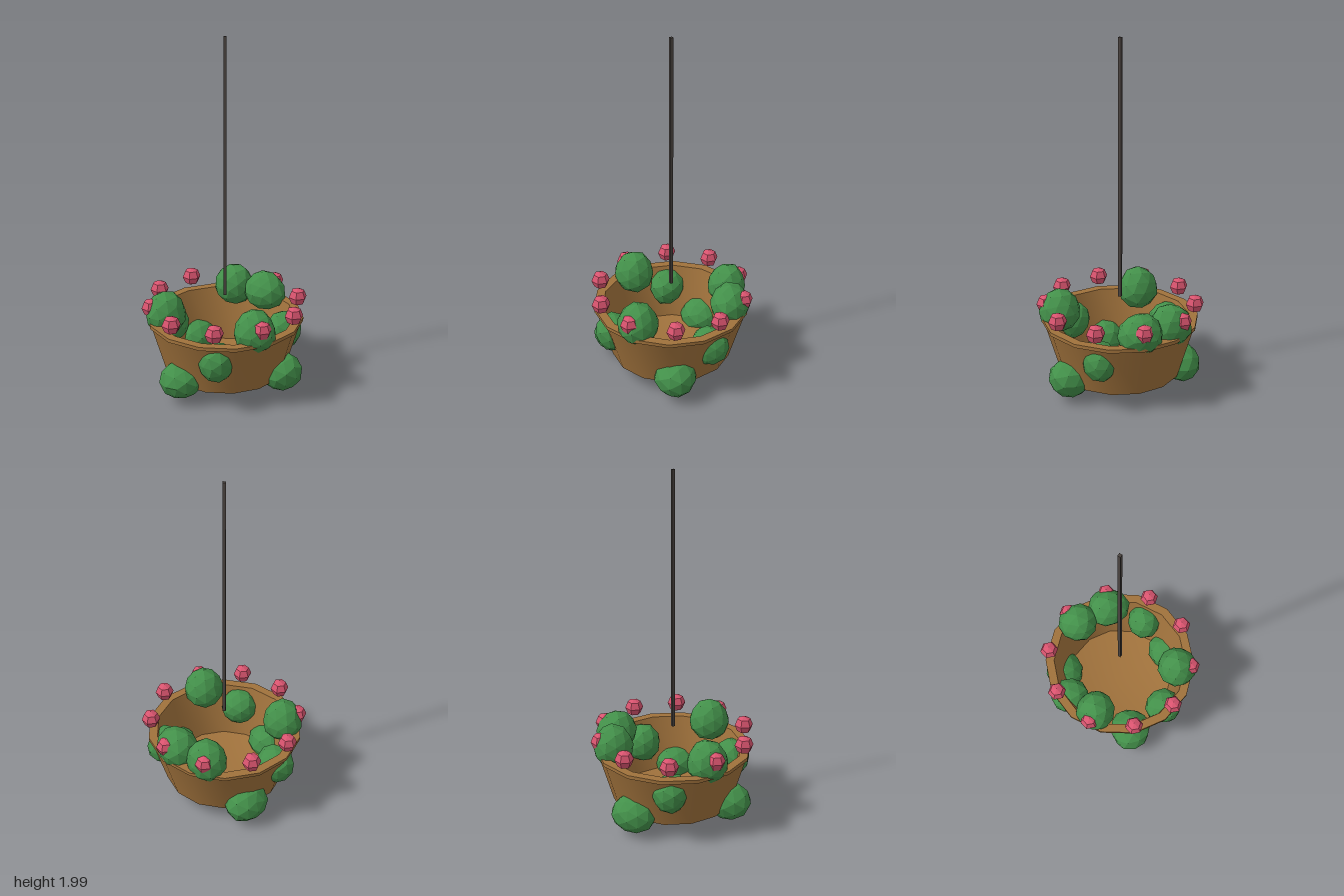
import * as THREE from 'three';
import { toCreasedNormals } from 'three/addons/utils/BufferGeometryUtils.js';

const material = (name, color, flatShading = false) => {
  const m = new THREE.MeshStandardMaterial({ color, flatShading });
  m.name = name;
  return m;
};

// Faceted ball whose vertices are pushed in and out by a smooth seeded rule
function lumpyBall(radius, seed) {
  const geo = new THREE.IcosahedronGeometry(1, 1);
  const p = geo.attributes.position;
  const v = new THREE.Vector3();
  for (let i = 0; i < p.count; i++) {
    v.fromBufferAttribute(p, i);
    const lump = Math.sin(v.x * 2.7 + seed * 1.9) + Math.sin(v.y * 3.1 + seed * 2.3) + Math.sin(v.z * 2.9 + seed * 3.7);
    v.multiplyScalar(radius * (1 + 0.045 * lump));
    p.setXYZ(i, v.x, v.y, v.z);
  }
  geo.computeVertexNormals();
  return geo;
}

export function createModel() {
  const wicker = material('brown wicker', 0xa0723c);
  const leaf = material('leaf green', 0x43904a, true);
  const petal = material('petal pink', 0xd9546f, true);
  const iron = material('dark iron', 0x4c4541, true);

  const model = new THREE.Group();
  model.name = 'hangingBasket';
  const add = (name, geo, mat, x = 0, y = 0, z = 0, parent = model) => {
    const mesh = new THREE.Mesh(geo, mat);
    mesh.name = name;
    mesh.position.set(x, y, z);
    parent.add(mesh);
    return mesh;
  };

  // Basket: shallow cone base, flared wall, rim and hollow inside
  const profile = [
    [0, 0.01], [0.34, 0.1], [0.428, 0.395], [0.44, 0.4], [0.44, 0.42],
    [0.39, 0.42], [0.31, 0.12], [0, 0.04],
  ].map(([r, y]) => new THREE.Vector2(r, y));
  const bowl = toCreasedNormals(new THREE.LatheGeometry(profile, 14), 0.6);
  add('basket', bowl, wicker).rotation.y = Math.PI / 2;

  // Hanging rod
  add('hangingRod', new THREE.CylinderGeometry(0.012, 0.012, 1.46, 4), iron, 0, 1.27, 0);

  // Foliage trails at three heights, with a blossom outside each clump
  const foliage = new THREE.Group();
  foliage.name = 'foliage';
  const blossoms = new THREE.Group();
  blossoms.name = 'blossoms';
  model.add(foliage, blossoms);
  const blossomGeo = new THREE.SphereGeometry(0.053, 6, 4);
  const radii = [0.117, 0.107, 0.117];
  for (let i = 0; i < 10; i++) {
    const a = (i / 10) * Math.PI * 2;
    const c = Math.cos(a), s = Math.sin(a);
    const tier = i % 3;
    add('leafClump', lumpyBall(radii[tier], i + 1), leaf, c * 0.342, 0.46 - 0.162 * tier, s * 0.342, foliage);
    add('blossom', blossomGeo, petal, c * 0.418, 0.495, s * 0.418, blossoms).rotation.y = Math.PI / 2;
  }
  return model;
}
